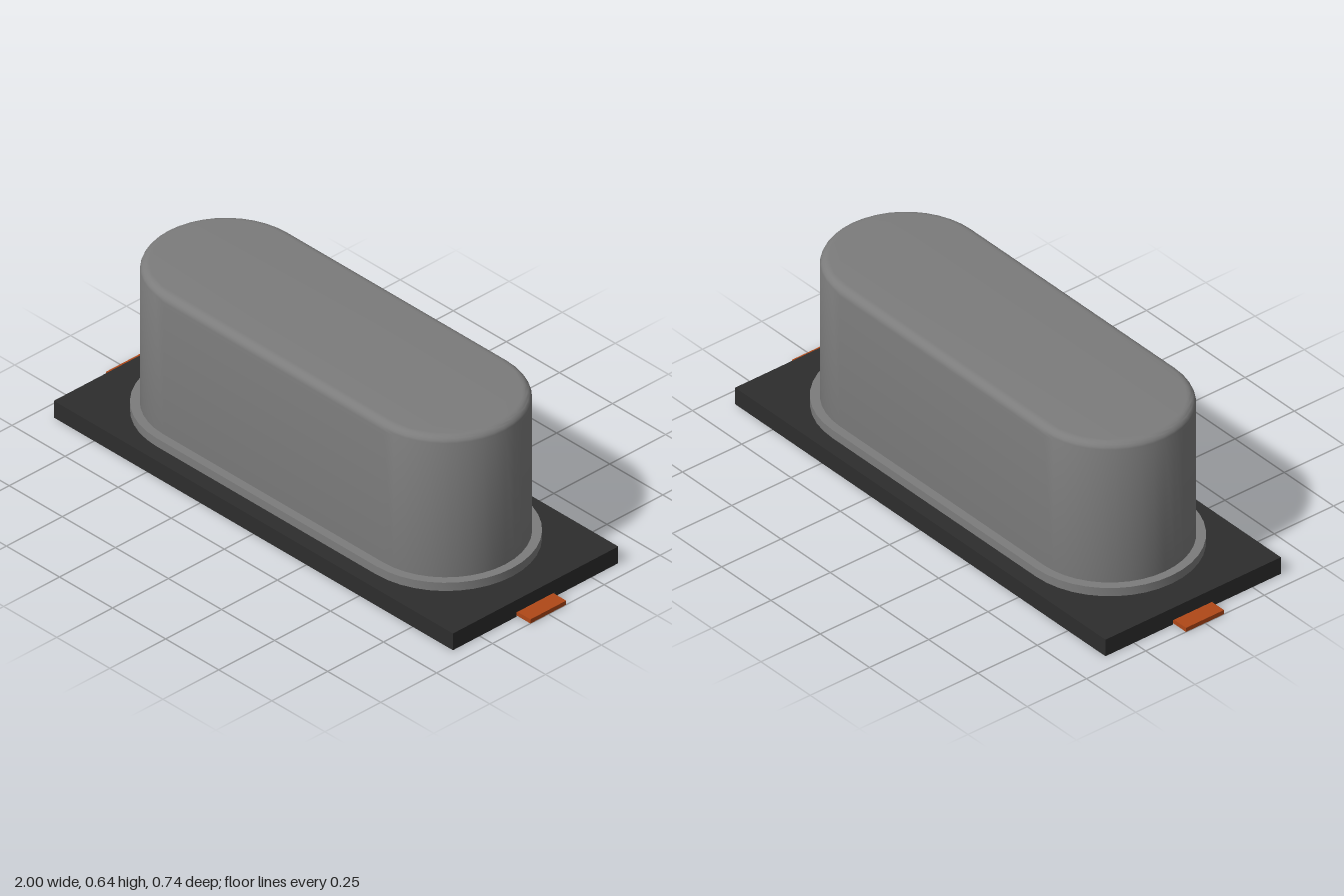
import * as THREE from 'three';
import { toCreasedNormals } from 'three/addons/utils/BufferGeometryUtils.js';

const material = (color) => new THREE.MeshStandardMaterial({ color });

// Stadium outline: two semicircles of radius r about x = -c and x = +c
function stadium(c, r) {
  const s = new THREE.Shape();
  s.absarc(c, 0, r, -Math.PI / 2, Math.PI / 2, false);
  s.absarc(-c, 0, r, Math.PI / 2, Math.PI * 1.5, false);
  s.closePath();
  return s;
}

// Extrudes a plan outline upwards from y0 to y1, optionally rounding its rims
function slab(name, shape, y0, y1, mat, round = 0) {
  const g = new THREE.ExtrudeGeometry(shape, {
    depth: y1 - y0 - 2 * round,
    curveSegments: 10,
    bevelEnabled: round > 0,
    bevelSize: round,
    bevelThickness: round,
    bevelOffset: -round,
    bevelSegments: 6,
  });
  g.rotateX(-Math.PI / 2);
  g.translate(0, y0 + round, 0);
  const mesh = new THREE.Mesh(toCreasedNormals(g, 0.5), mat);
  mesh.name = name;
  return mesh;
}

export function createModel() {
  const model = new THREE.Group();
  model.name = 'crystalPackage';
  const metal = material(0x7c7c7c);
  const plastic = material(0x2d2d2d);
  const copper = material(0xb04818);

  const X = 0.94, Z = 0.37;       // half size of the base
  const inner = 0.38;             // inner end of the terminals
  const slotH = 0.017, slotZ = 0.086;

  // Base: a lower layer slotted for the terminals, under a solid plate
  const slotted = new THREE.Shape([
    [-X, -Z], [X, -Z], [X, -slotZ], [inner, -slotZ], [inner, slotZ], [X, slotZ],
    [X, Z], [-X, Z], [-X, slotZ], [-inner, slotZ], [-inner, -slotZ], [-X, -slotZ],
  ].map(([x, y]) => new THREE.Vector2(x, y)));
  const plate = new THREE.Shape([
    [-X, -Z], [X, -Z], [X, Z], [-X, Z],
  ].map(([x, y]) => new THREE.Vector2(x, y)));
  model.add(slab('baseUnderside', slotted, 0, slotH, plastic));
  model.add(slab('basePlate', plate, slotH, 0.065, plastic));

  // Metal can with its flange
  model.add(slab('flange', stadium(0.518, 0.312), 0.065, 0.097, metal));
  model.add(slab('can', stadium(0.518, 0.28), 0.065, 0.64, metal, 0.03));

  // Flat terminals reaching out at both ends
  for (const side of [1, -1]) {
    const lead = new THREE.Mesh(new THREE.BoxGeometry(1 - inner, 0.016, 0.16), copper);
    lead.name = side > 0 ? 'leftTerminal' : 'rightTerminal';
    lead.position.set(side * (1 + inner) / 2, 0.008, 0);
    model.add(lead);
  }
  return model;
}
